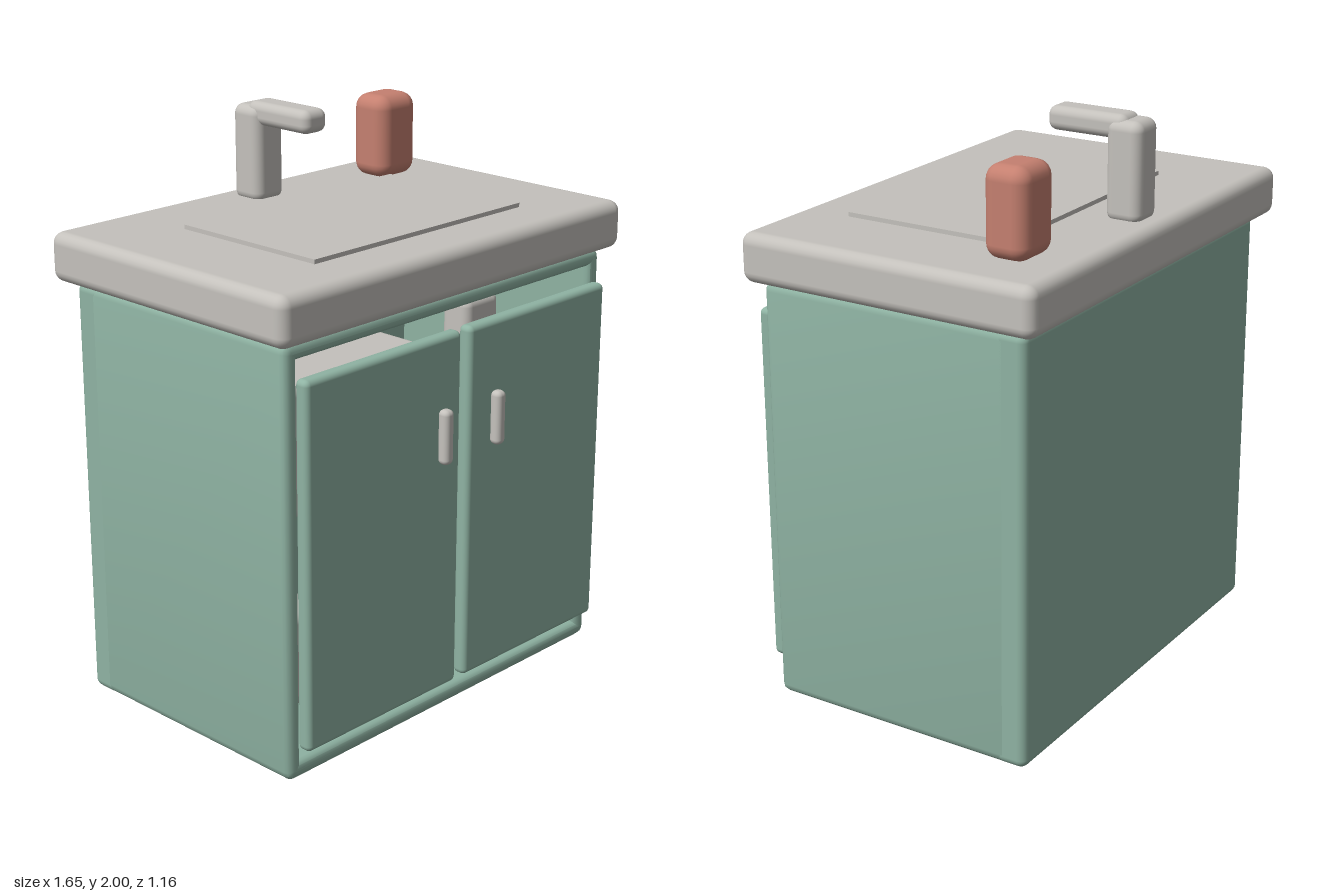
import * as THREE from 'three';
import { toCreasedNormals } from 'three/addons/utils/BufferGeometryUtils.js';
import { RoundedBoxGeometry } from 'three/addons/geometries/RoundedBoxGeometry.js';

const mat = (name, color) => {
  const m = new THREE.MeshStandardMaterial({ color });
  m.name = name;
  return m;
};

// Rounded rectangle outline, used for the cabinet walls and their opening
function roundedRect(target, x0, y0, x1, y1, r) {
  target.moveTo(x0 + r, y0);
  target.lineTo(x1 - r, y0);
  target.quadraticCurveTo(x1, y0, x1, y0 + r);
  target.lineTo(x1, y1 - r);
  target.quadraticCurveTo(x1, y1, x1 - r, y1);
  target.lineTo(x0 + r, y1);
  target.quadraticCurveTo(x0, y1, x0, y1 - r);
  target.lineTo(x0, y0 + r);
  target.quadraticCurveTo(x0, y0, x0 + r, y0);
  return target;
}

export function createModel() {
  const green = mat('sage green', 0x8fb3a3);
  const grey = mat('warm grey', 0xc4c1bc);
  const red = mat('terracotta', 0xc58070);
  const root = new THREE.Group();
  root.name = 'sinkCabinet';

  const add = (name, geometry, material) => {
    const mesh = new THREE.Mesh(geometry, material);
    mesh.name = name;
    root.add(mesh);
    return mesh;
  };

  // Softened box given by its minimum and maximum corners
  const box = (name, material, min, max, radius) => {
    const size = max.map((v, i) => v - min[i]);
    const geometry = radius
      ? new RoundedBoxGeometry(...size, 3, radius)
      : new THREE.BoxGeometry(...size);
    const mesh = add(name, geometry, material);
    mesh.position.set(...max.map((v, i) => (v + min[i]) / 2));
    return mesh;
  };

  // Hollow cabinet with an open front and rounded wall edges
  const b = 0.025;
  const outline = roundedRect(new THREE.Shape(), -0.77 + b, b, 0.77 - b, 1.49 - b, 0.01);
  const opening = new THREE.Path();
  opening.moveTo(-0.735, 0.035);
  opening.lineTo(-0.735, 1.455);
  opening.lineTo(0.735, 1.455);
  opening.lineTo(0.735, 0.035);
  opening.closePath();
  outline.holes.push(opening);
  const walls = new THREE.ExtrudeGeometry(outline, {
    depth: 0.88, bevelEnabled: true, bevelThickness: b, bevelSize: b,
    bevelSegments: 3, curveSegments: 3,
  });
  walls.translate(0, 0, -0.435);
  add('cabinetWalls', toCreasedNormals(walls, 0.7), green);
  box('cabinetBack', green, [-0.77, 0, -0.52], [0.77, 1.49, -0.4], 0.03);

  // Countertop and inset basin cover
  box('countertop', grey, [-0.825, 1.49, -0.58], [0.825, 1.66, 0.52], 0.04);
  box('basinPlate', grey, [-0.495, 1.65, -0.28], [0.495, 1.675, 0.325]);

  // Doors with their pulls
  for (const side of [-1, 1]) {
    const label = side < 0 ? 'right' : 'left';
    const x = side * 0.376;
    box(label + 'Door', green, [x - 0.357, 0.115, 0.47], [x + 0.357, 1.38, 0.525], 0.02);
    const h = side * 0.13;
    box(label + 'Handle', grey, [h - 0.022, 0.955, 0.535], [h + 0.022, 1.145, 0.579], 0.018);
  }

  // Faucet
  box('faucetBody', grey, [-0.067, 1.645, -0.51], [0.067, 1.985, -0.38], 0.035);
  box('faucetSpout', grey, [-0.055, 1.918, -0.45], [0.055, 2, -0.155], 0.03);

  // Soap container
  box('soapContainer', red, [0.455, 1.655, -0.44], [0.645, 1.955, -0.28], 0.05);

  // Things stored inside
  box('innerBasin', grey, [-0.38, 0.64, -0.25], [0.38, 1.13, 0.02], 0.04);
  box('upperBottle', grey, [0.24, 1.1, 0.2], [0.41, 1.378, 0.32], 0.03);
  box('floorContainer', grey, [-0.57, 0.06, -0.05], [-0.31, 0.4, 0.2], 0.03);
  const jar = new THREE.LatheGeometry(
    [[0, 0], [0.05, 0], [0.09, 0.025], [0.11, 0.06], [0.11, 0.28], [0.07, 0.34], [0, 0.34]]
      .map(([x, y]) => new THREE.Vector2(x, y)), 16);
  add('floorJar', jar, grey).position.set(0.44, 0.06, 0.08);

  return root;
}
